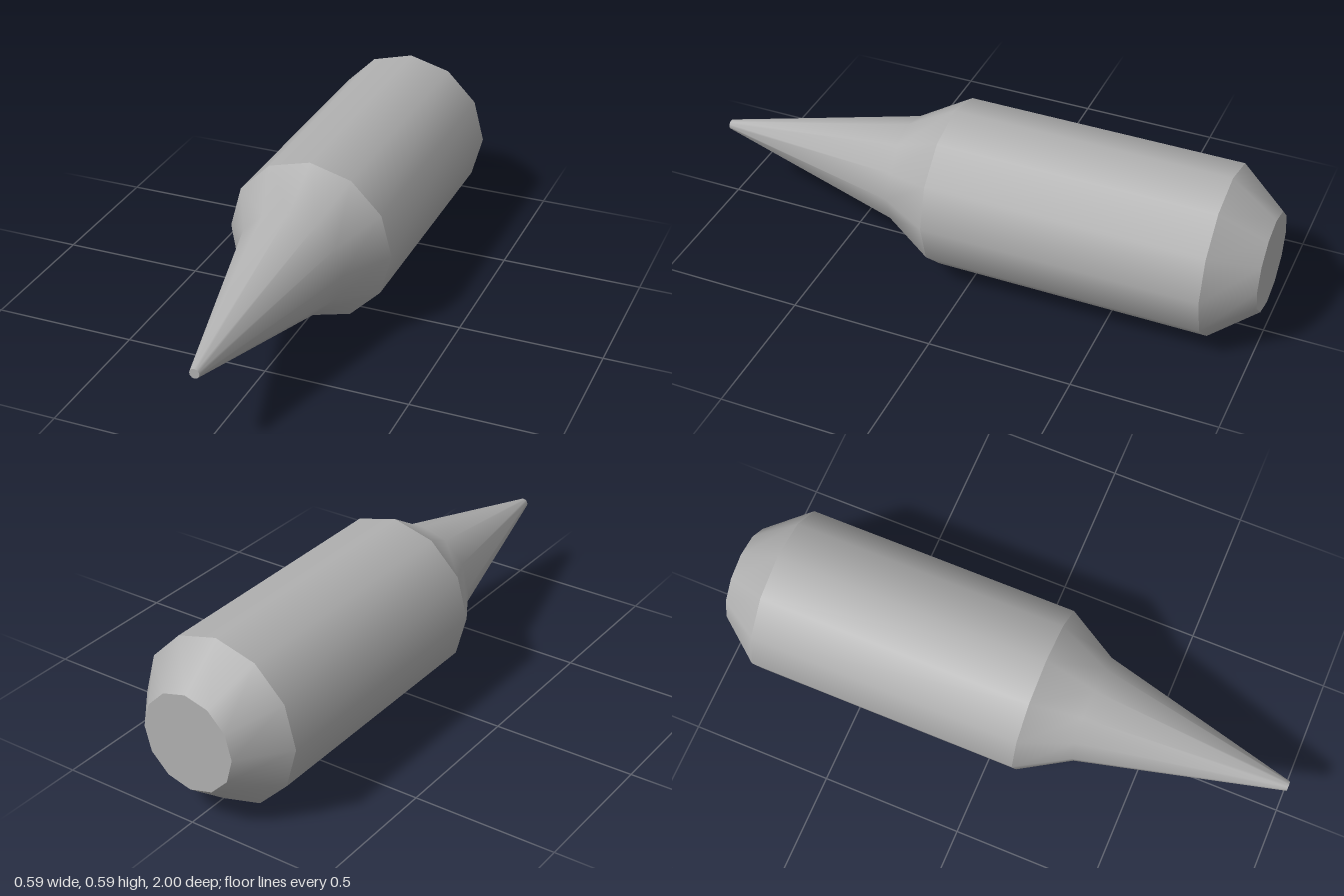
import * as THREE from 'three';

const SIDES = 12;
const CENTRE_Y = 0.293;

export function createModel() {
  const group = new THREE.Group();
  const grey = new THREE.MeshStandardMaterial({ color: 0xb0b0b0 });
  grey.name = 'grey';

  function add(name, geometry) {
    const mesh = new THREE.Mesh(geometry, grey);
    mesh.name = name;
    mesh.position.y = CENTRE_Y;
    group.add(mesh);
  }

  // Twelve-sided turned section along z; profile is [radius, z] from back to front
  function turned(name, profile) {
    const points = profile.map(([r, z]) => new THREE.Vector2(r, z));
    add(name, new THREE.LatheGeometry(points, SIDES).rotateX(Math.PI / 2));
  }

  // Separate sections keep the edges between them sharp
  turned('tailBevel', [[0.17, -1], [0.293, -0.845]]);
  turned('body', [[0.293, -0.845], [0.293, 0.12]]);
  turned('taperedNose', [[0.293, 0.12], [0.19, 0.295], [0.017, 1]]);

  // Flat ends
  add('noseTip', new THREE.CircleGeometry(0.017, SIDES).translate(0, 0, 1));
  add('tailCap', new THREE.CircleGeometry(0.17, SIDES).rotateY(Math.PI).translate(0, 0, -1));

  return group;
}
